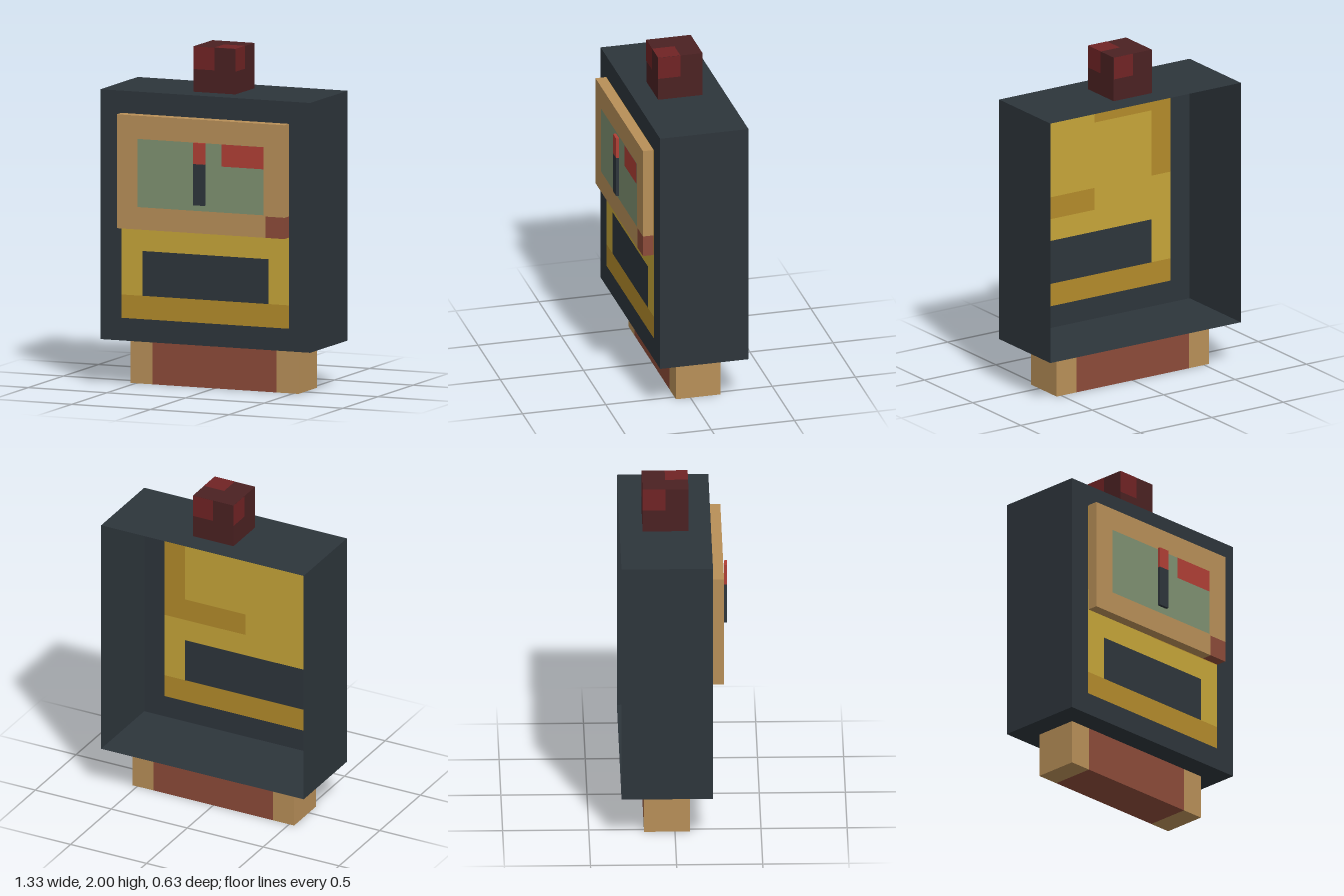
import * as THREE from 'three';

const mat = (name, color, side = THREE.FrontSide) => {
  const m = new THREE.MeshStandardMaterial({ color, side });
  m.name = name;
  return m;
};

export function createModel() {
  const model = new THREE.Group();
  model.name = 'gaugeBox';

  const D = THREE.DoubleSide;
  const slate = mat('slate', 0x2d353b, D);
  const yellow = mat('yellow', 0xc6a539, D);
  const gold = mat('darkGold', 0xb38b2b, D);
  const tan = mat('tan', 0xb88f58);
  const rust = mat('rust', 0x8c4b39);
  const green = mat('dialGreen', 0x7e9171);
  const red = mat('red', 0xb03f35);
  const maroon = mat('maroon', 0x4b2122);
  const crimson = mat('crimson', 0x702324);

  const group = (name) => {
    const g = new THREE.Group();
    g.name = name;
    model.add(g);
    return g;
  };
  // Box given by its minimum and maximum corners
  const box = (parent, name, m, [x0, y0, z0], [x1, y1, z1]) => {
    const mesh = new THREE.Mesh(new THREE.BoxGeometry(x1 - x0, y1 - y0, z1 - z0), m);
    mesh.position.set((x0 + x1) / 2, (y0 + y1) / 2, (z0 + z1) / 2);
    mesh.name = name;
    parent.add(mesh);
    return mesh;
  };
  // Flat rectangle facing +z
  const rect = (parent, name, m, x0, x1, y0, y1, z) => {
    const mesh = new THREE.Mesh(new THREE.PlaneGeometry(x1 - x0, y1 - y0), m);
    mesh.position.set((x0 + x1) / 2, (y0 + y1) / 2, z);
    mesh.name = name;
    parent.add(mesh);
    return mesh;
  };

  // Housing: thin-walled shell, open at the back
  const W = 0.667, Y0 = 0.267, Y1 = 1.733, ZB = -0.313, ZF = 0.218;
  const depth = ZF - ZB, midZ = (ZF + ZB) / 2, midY = (Y0 + Y1) / 2;
  const housing = group('housing');
  for (const s of [-1, 1]) {
    const side = new THREE.Mesh(new THREE.PlaneGeometry(depth, Y1 - Y0), slate);
    side.rotation.y = s * Math.PI / 2;
    side.position.set(s * W, midY, midZ);
    side.name = s > 0 ? 'leftWall' : 'rightWall';
    const cap = new THREE.Mesh(new THREE.PlaneGeometry(2 * W, depth), slate);
    cap.rotation.x = -s * Math.PI / 2;
    cap.position.set(0, s > 0 ? Y1 : Y0, midZ);
    cap.name = s > 0 ? 'roof' : 'floor';
    housing.add(side, cap);
  }

  // Front wall: slate frame around tiles of colour that show on both sides
  const A = 0.533, B = 0.4;
  const front = group('frontWall');
  const tiles = [
    [slate, -W, W, Y0, 0.4], [slate, -W, W, 1.6, Y1],
    [slate, -W, -A, 0.4, 1.6], [slate, A, W, 0.4, 1.6],
    [gold, -A, A, 0.4, 0.537],
    [yellow, -A, -B, 0.537, 0.8], [slate, -B, B, 0.537, 0.8], [yellow, B, A, 0.537, 0.8],
    [yellow, -A, A, 0.8, 0.933],
    [yellow, -A, 0, 0.933, 1.067], [gold, 0, A, 0.933, 1.067],
    [gold, -A, -B, 1.067, 1.467], [yellow, -B, B, 1.067, 1.467], [gold, B, A, 1.067, 1.467],
    [gold, -A, 0, 1.467, 1.6], [yellow, 0, B, 1.467, 1.6], [gold, B, A, 1.467, 1.6],
  ];
  for (const [m, ...r] of tiles) rect(front, m.name + 'Tile', m, ...r, ZF);

  // Gauge panel with a rust corner
  const panel = group('gaugePanel');
  const P0 = 0.935, P1 = 1.603, PC = 1.06, PX = 0.413, PB = 0.221, PF = 0.285;
  box(panel, 'panelBoard', tan, [-A, PC, PB], [A, P1, PF]);
  box(panel, 'panelBase', tan, [-A, P0, PB], [PX, PC, PF]);
  box(panel, 'panelCorner', rust, [PX, P0, PB], [A, PC, PF]);
  rect(panel, 'dial', green, -B, B, 1.067, 1.467, PF + 0.002);
  rect(panel, 'dialRedZone', red, 0.133, B, 1.337, 1.467, PF + 0.004);

  // Needle floating in front of the dial
  const needle = group('needle');
  box(needle, 'needleStem', slate, [-0.035, 1.103, 0.295], [0.035, 1.345, 0.313]);
  box(needle, 'needleTip', red, [-0.035, 1.345, 0.295], [0.035, 1.469, 0.313]);

  // Base block with tan ends
  const base = group('base');
  box(base, 'baseMiddle', rust, [-0.393, 0, -0.18], [0.393, 0.264, 0.087]);
  box(base, 'baseEndRight', tan, [-A, 0, -0.18], [-0.393, 0.264, 0.087]);
  box(base, 'baseEndLeft', tan, [0.393, 0, -0.18], [A, 0.264, 0.087]);

  // Top lamp: each face carries a bright square in one corner
  const lamp = group('lamp');
  const H = 0.1333;
  lamp.position.set(0, Y1 + H, -0.0465);
  box(lamp, 'lampCube', maroon, [-H, -H, -H], [H, H, H]);
  for (let i = 0; i < 4; i++) {
    const face = new THREE.Group();
    face.name = 'lampFace';
    face.rotation.y = i * Math.PI / 2;
    rect(face, 'lampGlint', crimson, -H, 0, 0, H, H + 0.001);
    lamp.add(face);
  }
  const topFace = new THREE.Group();
  topFace.name = 'lampTopFace';
  topFace.rotation.x = -Math.PI / 2;
  rect(topFace, 'lampGlint', crimson, 0, H, -H, 0, H + 0.001);
  lamp.add(topFace);

  return model;
}
